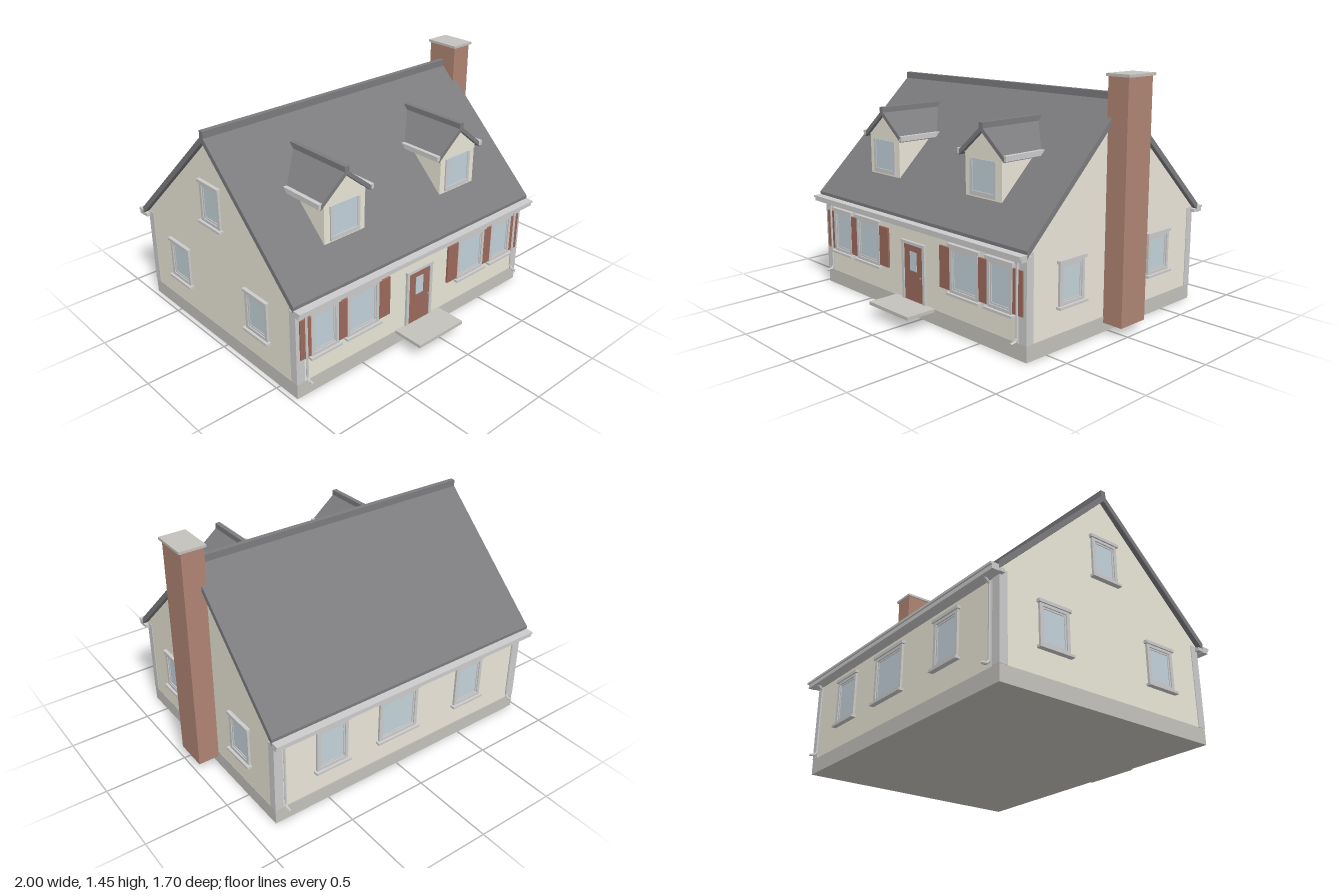
import * as THREE from 'three';

const mat = (color, side = THREE.FrontSide) => new THREE.MeshStandardMaterial({ color, side, flatShading: true });
const M = {
  trim: mat(0xcccccc), wall: mat(0xeae6d8), base: mat(0xc4c2bc), roof: mat(0x7c7c7f),
  brick: mat(0xb08574), paint: mat(0x9c6a5c), glass: mat(0xc3d2da), metal: mat(0x88888a),
};

// House extents
const X0 = -0.97, X1 = 0.855, ZC = -0.065, HALF = 0.712, ZF = ZC + HALF, ZB = ZC - HALF;
const RIDGE = 1.31, SLOPE = 0.95;
const roofZ = y => ZC + (RIDGE - y) / SLOPE;

function add(parent, name, geo, material) {
  const mesh = new THREE.Mesh(geo, material);
  mesh.name = name;
  parent.add(mesh);
  return mesh;
}

// Box given by its limits on each axis
function box(parent, name, material, x0, x1, y0, y1, z0, z1) {
  const mesh = add(parent, name, new THREE.BoxGeometry(x1 - x0, y1 - y0, z1 - z0), material);
  mesh.position.set((x0 + x1) / 2, (y0 + y1) / 2, (z0 + z1) / 2);
  return mesh;
}

const poly = pts => new THREE.Shape(pts.map(p => new THREE.Vector2(...p)));
const extrude = (shape, depth) => new THREE.ExtrudeGeometry(shape, { depth, bevelEnabled: false });

// Gable-ended wall outline and inverted-V roof outline, centred on 0
const gable = (w, y0, eave, peak) => poly([[-w, y0], [w, y0], [w, eave], [0, peak], [-w, eave]]);
const chevron = (w, peak, slope, t) => poly([
  [0, peak], [-w, peak - w * slope], [-w, peak - w * slope - t],
  [0, peak - t], [w, peak - w * slope - t], [w, peak - w * slope]]);

// Flat rectangular frame with an opening
function frame(parent, name, w, h, bw, depth) {
  const r = (a, b) => [[-a, -b], [a, -b], [a, b], [-a, b]];
  const s = poly(r(w / 2, h / 2));
  s.holes.push(poly(r(w / 2 - bw, h / 2 - bw)));
  return add(parent, name, extrude(s, depth), M.trim);
}

// Window facing +z, its centre on the wall surface
function makeWindow(name, w, h) {
  const g = new THREE.Group();
  g.name = name;
  frame(g, 'windowFrame', w, h, 0.02, 0.014);
  frame(g, 'windowSash', w - 0.036, h - 0.036, 0.012, 0.008);
  box(g, 'windowGlass', M.glass, -w / 2 + 0.025, w / 2 - 0.025, -h / 2 + 0.025, h / 2 - 0.025, 0, 0.004);
  box(g, 'windowHeader', M.trim, -w / 2 - 0.01, w / 2 + 0.01, h / 2 - 0.004, h / 2 + 0.014, 0, 0.022);
  box(g, 'windowSill', M.trim, -w / 2 - 0.014, w / 2 + 0.014, -h / 2 - 0.012, -h / 2 + 0.002, 0, 0.03);
  return g;
}

function placeWindow(parent, name, w, h, x, y, z, turn) {
  const g = makeWindow(name, w, h);
  g.position.set(x, y, z);
  g.rotation.y = turn;
  parent.add(g);
}

// Shutter panel with two raised frames
function shutter(parent, x0, x1) {
  box(parent, 'shutter', M.paint, x0, x1, 0.245, 0.49, ZF, ZF + 0.012);
}

function makeDormer(x) {
  const g = new THREE.Group();
  g.name = 'dormer';
  g.position.x = x;
  const front = 0.51;
  // Cut the back end of a part along the main roof slope
  const cutBack = (geo, zFront) => {
    const p = geo.attributes.position;
    for (let i = 0; i < p.count; i++)
      p.setZ(i, p.getZ(i) > 0.5 ? zFront : Math.min(zFront - 0.002, roofZ(p.getY(i)) - 0.015));
    geo.computeVertexNormals();
    return geo;
  };
  add(g, 'dormerWalls', cutBack(extrude(gable(0.145, 0.76, 1.01, 1.132), 1), front), M.wall);
  add(g, 'dormerRoof', cutBack(extrude(chevron(0.178, 1.165, 0.83, 0.03), 1), 0.528), M.roof);
  box(g, 'dormerRidgeCap', M.roof, -0.015, 0.015, 1.14, 1.185, 0.075, 0.53);
  for (const s of [-1, 1]) {
    const a = s * 0.17, b = s * 0.195;
    box(g, 'dormerGutter', M.trim, Math.min(a, b), Math.max(a, b), 0.995, 1.025, 0.23, 0.528);
    box(g, 'dormerFrieze', M.trim, s * 0.147 - 0.004, s * 0.147 + 0.004, 0.985, 1.01, 0.25, front);
    box(g, 'dormerCasing', M.trim, s * 0.095 - 0.01, s * 0.095 + 0.01, 0.775, 0.98, front, front + 0.008);
  }
  box(g, 'dormerSill', M.trim, -0.105, 0.105, 0.775, 0.8, front, front + 0.01);
  box(g, 'dormerGlass', M.glass, -0.085, 0.085, 0.8, 0.98, front, front + 0.004);
  return g;
}

// Downspout from the gutter to an elbow at the foot
function downspout(parent, x, s) {
  const z = d => ZC + s * (HALF + d);
  const path = new THREE.CurvePath();
  const pts = [[0.05, 0.56], [0.012, 0.53], [0.012, 0.12], [0.025, 0.103], [0.06, 0.1]]
    .map(([d, y]) => new THREE.Vector3(x, y, z(d)));
  for (let i = 1; i < pts.length; i++) path.add(new THREE.LineCurve3(pts[i - 1], pts[i]));
  add(parent, 'downspout', new THREE.TubeGeometry(path, 48, 0.008, 6), M.trim);
}

export function createModel() {
  const house = new THREE.Group();
  house.name = 'house';

  // Foundation, walls and main roof
  box(house, 'foundation', M.base, X0 - 0.002, X1 + 0.002, 0, 0.092, ZB - 0.003, ZF + 0.003);
  const along = (name, shape, x0, x1, m) => {
    const mesh = add(house, name, extrude(shape, x1 - x0).rotateY(Math.PI / 2), m);
    mesh.position.set(x0, 0, ZC);
  };
  along('walls', gable(HALF, 0.092, 0.59, 1.268), X0, X1, M.wall);
  along('roof', chevron(0.74, RIDGE, SLOPE, 0.042), -1, 0.882, M.roof);
  box(house, 'ridgeCap', M.roof, -1, 0.882, 1.28, 1.335, ZC - 0.016, ZC + 0.016);

  // Eaves, corner boards and downspouts, front and back
  for (const s of [-1, 1]) {
    const span = (name, d0, d1, y0, y1, x0 = -1, x1 = 0.882) => {
      const a = ZC + s * d0, b = ZC + s * d1;
      box(house, name, M.trim, x0, x1, y0, y1, Math.min(a, b), Math.max(a, b));
    };
    span('soffit', HALF - 0.01, 0.745, 0.555, 0.575);
    span('gutter', 0.738, 0.78, 0.552, 0.578);
    span('gutterLip', 0.738, 0.79, 0.575, 0.588);
    for (const [x0, x1] of [[X0 - 0.004, X0 + 0.05], [X1 - 0.05, X1 + 0.004]])
      span('cornerBoard', HALF - 0.045, HALF + 0.005, 0.092, 0.585, x0, x1);
    for (const x of [-0.908, 0.797]) downspout(house, x, s);
  }

  // Windows
  const wy = 0.37, wh = 0.27;
  for (const [x, w] of [[-0.78, 0.19], [-0.505, 0.235], [0.385, 0.235], [0.665, 0.19]])
    placeWindow(house, 'frontWindow', w, wh, x, wy, ZF, 0);
  for (const [x, w] of [[0.48, 0.21], [0.01, 0.28], [-0.54, 0.21]])
    placeWindow(house, 'backWindow', w, wh, x, wy, ZB, Math.PI);
  for (const z of [0.317, -0.44]) {
    placeWindow(house, 'chimneySideWindow', 0.195, 0.24, X1, 0.365, z, Math.PI / 2);
    placeWindow(house, 'gableWindow', 0.195, 0.24, X0, 0.365, z, -Math.PI / 2);
  }
  placeWindow(house, 'atticWindow', 0.18, 0.24, X0, 0.89, ZC, -Math.PI / 2);

  // Shutters
  for (const [a, b] of [[-0.95, -0.877], [-0.688, -0.624], [-0.386, -0.3], [0.18, 0.267], [0.503, 0.569], [0.762, 0.835]])
    shutter(house, a, b);

  // Front door and stoop
  const door = new THREE.Group();
  door.name = 'frontDoor';
  box(door, 'doorPanel', M.paint, -0.145, 0.025, 0.092, 0.44, ZF, ZF + 0.008);
  for (const x of [-0.165, 0.025]) box(door, 'doorJamb', M.trim, x, x + 0.02, 0.092, 0.44, ZF, ZF + 0.014);
  box(door, 'doorHead', M.trim, -0.168, 0.048, 0.438, 0.455, ZF, ZF + 0.018);
  box(door, 'doorGlass', M.glass, -0.09, -0.03, 0.28, 0.395, ZF, ZF + 0.011);
  add(door, 'doorKnob', new THREE.SphereGeometry(0.007, 10, 8), M.metal).position.set(0.008, 0.25, ZF + 0.014);
  house.add(door);
  box(house, 'stoop', M.base, -0.24, 0.12, 0.075, 0.095, ZF, 0.845);

  // Chimney against the gable
  box(house, 'chimney', M.brick, 0.85, 0.985, 0.055, 1.43, -0.165, 0.04);
  box(house, 'chimneyCap', M.base, 0.84, 1, 1.43, 1.445, -0.175, 0.05);

  for (const x of [-0.508, 0.385]) house.add(makeDormer(x));
  return house;
}
